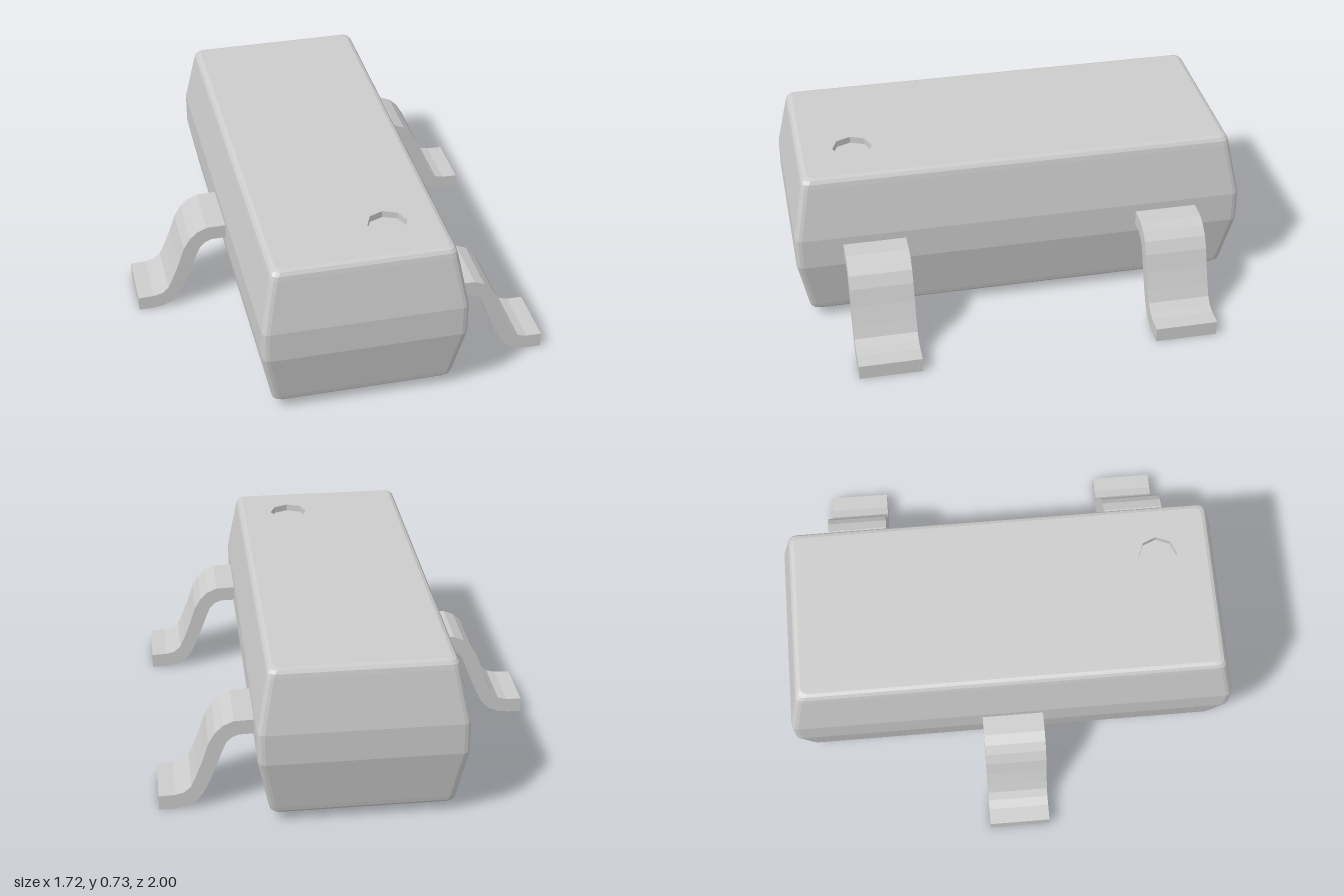
import * as THREE from 'three';

const material = new THREE.MeshStandardMaterial({ color: 0xcccccc, flatShading: true });

function addMesh(parent, geometry, name) {
  const mesh = new THREE.Mesh(geometry, material);
  mesh.name = name;
  parent.add(mesh);
  return mesh;
}

// Rounded rectangle, counter-clockwise seen from above (shape y = -z)
function outline(hx, hz, r = 0.03, steps = 3) {
  const points = [];
  [[1, 1], [-1, 1], [-1, -1], [1, -1]].forEach(([sx, sy], corner) => {
    for (let i = 0; i <= steps; i++) {
      const a = (corner + i / steps) * Math.PI / 2;
      points.push(new THREE.Vector2(
        sx * (hx - r) + r * Math.cos(a), sy * (hz - r) + r * Math.sin(a)));
    }
  });
  return points;
}

// Walls joining horizontal rings from bottom to top
function loft(rings) {
  const pos = [];
  for (let k = 0; k < rings.length - 1; k++) {
    const low = rings[k], high = rings[k + 1], n = low.points.length;
    for (let j = 0; j < n; j++) {
      const m = (j + 1) % n;
      const v = (ring, i) => [ring.points[i].x, ring.y, -ring.points[i].y];
      const a = v(low, j), b = v(low, m), c = v(high, m), d = v(high, j);
      pos.push(...a, ...b, ...c, ...a, ...c, ...d);
    }
  }
  const geometry = new THREE.BufferGeometry();
  geometry.setAttribute('position', new THREE.Float32BufferAttribute(pos, 3));
  geometry.computeVertexNormals();
  return geometry;
}

// Moulded package: tapered above and below a straight belt, edges rounded
function buildBody() {
  const body = new THREE.Group();
  body.name = 'body';
  const levels = [ // [height, inset]
    [0.037, 0.075], [0.043, 0.06], [0.055, 0.05], [0.075, 0.045], [0.31, 0],
    [0.45, 0], [0.685, 0.045], [0.705, 0.05], [0.719, 0.06], [0.725, 0.075],
  ];
  const rings = levels.map(([y, inset]) => ({ y, points: outline(0.445 - inset, 1 - inset) }));
  addMesh(body, loft(rings), 'bodySides');

  // Eight-sided marker dimple sunk into the top face
  const depth = 0.03, top = rings[rings.length - 1];
  const dimple = Array.from({ length: 8 }, (_, i) => {
    const a = i * Math.PI / 4;
    return new THREE.Vector2(0.155 + 0.087 * Math.cos(a), -0.705 + 0.087 * Math.sin(a));
  });
  const topShape = new THREE.Shape(top.points);
  topShape.holes.push(new THREE.Path(dimple));
  const face = (shape, y) =>
    new THREE.ShapeGeometry(shape).rotateX(-Math.PI / 2).translate(0, y, 0);
  addMesh(body, face(topShape, top.y), 'bodyTop');
  addMesh(body, face(new THREE.Shape(dimple), top.y - depth), 'dimpleFloor');
  addMesh(body, loft([
    { y: top.y, points: dimple }, { y: top.y - depth, points: dimple },
  ]), 'dimpleWall');

  const bottom = new THREE.ShapeGeometry(new THREE.Shape(rings[0].points));
  addMesh(body, bottom.rotateX(Math.PI / 2).translate(0, rings[0].y, 0), 'bodyBottom');
  return body;
}

// Gull-wing lead: S-shaped strip profile pushed out across its width
function leadGeometry(width) {
  const upper = [[0.42, 0.415], [0.53, 0.412], [0.575, 0.393], [0.61, 0.36], [0.64, 0.31],
    [0.665, 0.235], [0.697, 0.155], [0.72, 0.105], [0.75, 0.078], [0.79, 0.068], [0.86, 0.066]];
  const lower = [[0.42, 0.348], [0.51, 0.347], [0.54, 0.335], [0.565, 0.31], [0.585, 0.265],
    [0.605, 0.21], [0.64, 0.125], [0.67, 0.066], [0.705, 0.027], [0.75, 0.007], [0.80, 0], [0.86, 0]];
  const profile = [...lower, ...upper.reverse()].map(([x, y]) => new THREE.Vector2(x, y));
  return new THREE.ExtrudeGeometry(new THREE.Shape(profile), { depth: width, bevelEnabled: false })
    .translate(0, 0, -width / 2);
}

export function createModel() {
  const model = new THREE.Group();
  model.name = 'threeLeadPackage';
  model.add(buildBody());

  // Two leads on the left side, a single one on the right
  const lead = leadGeometry(0.275);
  addMesh(model, lead, 'frontLeftLead').position.z = 0.655;
  addMesh(model, lead, 'backLeftLead').position.z = -0.657;
  addMesh(model, lead, 'rightLead').rotation.y = Math.PI;
  return model;
}
